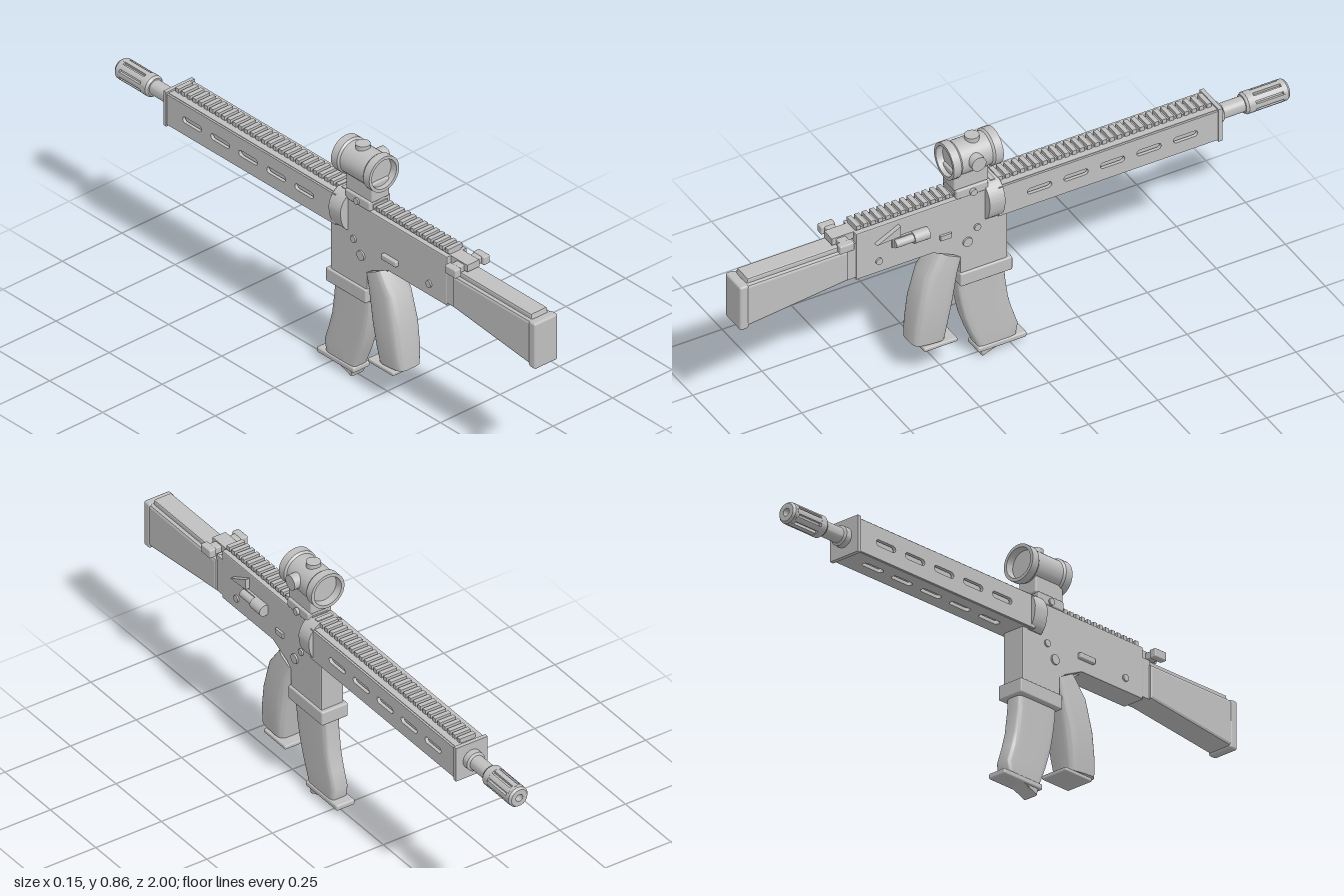
import * as THREE from 'three';
import { toCreasedNormals } from 'three/addons/utils/BufferGeometryUtils.js';
import { RoundedBoxGeometry } from 'three/addons/geometries/RoundedBoxGeometry.js';

export function createModel() {
  const model = new THREE.Group();
  const grey = new THREE.MeshStandardMaterial({ color: 0xc0c0c0 });
  grey.name = 'plain grey';
  const BORE = 0.613;

  const add = (name, geo, x = 0, y = 0, z = 0) => {
    const mesh = new THREE.Mesh(geo, grey);
    mesh.name = name;
    mesh.position.set(x, y, z);
    model.add(mesh);
    return mesh;
  };
  // box given by its limits
  const box = (name, x0, x1, y0, y1, z0, z1, r = 0) => {
    const s = [x1 - x0, y1 - y0, z1 - z0];
    const geo = r ? new RoundedBoxGeometry(...s, 2, r) : new THREE.BoxGeometry(...s);
    return add(name, geo, (x0 + x1) / 2, (y0 + y1) / 2, (z0 + z1) / 2);
  };
  // side profile of [z, y] points, extruded across x and centred
  const profile = (name, pts, halfWidth, bevel = 0, x = 0) => {
    const shape = new THREE.Shape(pts.map(p => new THREE.Vector2(...p)));
    const geo = new THREE.ExtrudeGeometry(shape, {
      depth: 2 * (halfWidth - bevel), bevelEnabled: bevel > 0,
      bevelSize: bevel, bevelThickness: bevel, bevelOffset: -bevel, bevelSegments: 2,
    });
    geo.translate(0, 0, bevel - halfWidth).rotateY(-Math.PI / 2);
    return add(name, geo, x);
  };
  // turned part along z from [radius, z] points in rising z
  const turned = (name, pts, y) => {
    const geo = new THREE.LatheGeometry(pts.map(p => new THREE.Vector2(...p)), 32);
    return add(name, toCreasedNormals(geo.rotateX(Math.PI / 2), 0.5), 0, y);
  };
  // cylinder lying across x
  const pin = (name, r, x0, x1, y, z) =>
    add(name, new THREE.CylinderGeometry(r, r, x1 - x0, 20).rotateZ(Math.PI / 2), (x0 + x1) / 2, y, z);
  // loft through rounded sections [zBack, yBack, zFront, yFront, halfWidth], top to bottom
  const loft = (name, sections, power) => {
    const N = 32, pos = [], idx = [];
    const soft = v => Math.sign(v) * Math.abs(v) ** power;
    for (const [zb, yb, zf, yf, w] of sections) {
      for (let j = 0; j < N; j++) {
        const a = (j / N) * 2 * Math.PI, t = (soft(Math.cos(a)) + 1) / 2;
        pos.push(w * soft(Math.sin(a)), yb + (yf - yb) * t, zb + (zf - zb) * t);
      }
    }
    const last = sections.length - 1, top = sections.length * N;
    for (const [zb, yb, zf, yf] of [sections[0], sections[last]]) pos.push(0, (yb + yf) / 2, (zb + zf) / 2);
    for (let j = 0; j < N; j++) {
      const k = (j + 1) % N;
      for (let i = 0; i < last; i++) {
        const a = i * N + j, b = i * N + k;
        idx.push(a, b, a + N, b, b + N, a + N);
      }
      idx.push(top, k, j, top + 1, last * N + j, last * N + k);
    }
    const geo = new THREE.BufferGeometry();
    geo.setAttribute('position', new THREE.Float32BufferAttribute(pos, 3));
    geo.setIndex(idx);
    return add(name, toCreasedNormals(geo, 0.6));
  };

  // stock with butt pad and raised comb
  profile('stock', [[0.98, 0.455], [0.98, 0.615], [0.605, 0.615], [0.605, 0.497]], 0.047, 0.01);
  box('buttPad', -0.049, 0.049, 0.448, 0.617, 0.968, 1, 0.008);
  profile('stockComb', [[0.97, 0.61], [0.965, 0.632], [0.6, 0.632], [0.6, 0.61]], 0.034, 0.006);
  box('stockCollar', -0.04, 0.04, 0.495, 0.63, 0.57, 0.61);

  // charging handle
  box('chargingHandleBar', -0.073, 0.073, 0.635, 0.66, 0.605, 0.64, 0.004);
  box('chargingHandleStem', -0.025, 0.025, 0.64, 0.665, 0.56, 0.655);
  for (const s of [-1, 1]) box('chargingHandleEnd', s * 0.06 - 0.013, s * 0.06 + 0.013, 0.632, 0.662, 0.6, 0.652, 0.004);

  // receiver and magazine well
  profile('receiver', [[0.577, 0.485], [0.577, 0.665], [0.03, 0.665], [0.03, 0.34], [0.2, 0.34],
    [0.2, 0.43], [0.225, 0.45], [0.3, 0.485]], 0.042, 0.004);
  box('magazineWellLip', -0.05, 0.05, 0.32, 0.37, 0.015, 0.203, 0.005);
  profile('gripTang', [[0.31, 0.487], [0.205, 0.487], [0.215, 0.44], [0.27, 0.46]], 0.022);

  // receiver fittings
  profile('caseDeflector', [[0.51, 0.605], [0.425, 0.61], [0.425, 0.648]], 0.01, 0, 0.048);
  const rod = (name, r, z0, z1) =>
    add(name, new THREE.CylinderGeometry(r, r, z1 - z0, 20).rotateX(Math.PI / 2), 0.054, 0.585, (z0 + z1) / 2);
  rod('assistRod', 0.014, 0.38, 0.445);
  rod('assistKnob', 0.02, 0.325, 0.38);
  box('portCover', 0.04, 0.05, 0.568, 0.602, 0.33, 0.45);
  for (const [r, z, y] of [[0.012, 0.495, 0.53], [0.017, 0.175, 0.485], [0.012, 0.14, 0.53]]) {
    pin('receiverPin', r, -0.048, 0.048, y, z);
  }
  box('magazineCatch', 0.04, 0.05, 0.528, 0.546, 0.235, 0.275);
  box('selectorLever', -0.056, -0.04, 0.525, 0.545, 0.28, 0.35, 0.004);

  // pistol grip
  loft('pistolGrip', [
    [0.268, 0.47, 0.19, 0.43, 0.047], [0.322, 0.395, 0.205, 0.375, 0.053], [0.35, 0.29, 0.225, 0.27, 0.057],
    [0.363, 0.2, 0.24, 0.19, 0.054], [0.367, 0.14, 0.25, 0.13, 0.047],
  ], 0.5);
  box('gripBasePlate', -0.052, 0.052, 0.114, 0.128, 0.215, 0.335, 0.004);
  box('gripBaseCore', -0.035, 0.035, 0.12, 0.16, 0.26, 0.33);

  // curved magazine
  loft('magazine', [
    [0.2, 0.36, 0.032, 0.36, 0.031], [0.197, 0.29, 0.026, 0.275, 0.031], [0.188, 0.23, 0.015, 0.195, 0.031],
    [0.175, 0.17, 0.0, 0.14, 0.031], [0.155, 0.11, -0.02, 0.08, 0.031], [0.128, 0.045, -0.012, 0.04, 0.031],
    [0.112, 0.0, 0.09, 0.01, 0.028],
  ], 0.3);
  box('magazineFloorPlate', -0.035, 0.035, 0.022, 0.042, -0.045, 0.13, 0.006);

  // slotted handguard: two sides, underside, plain top
  const GUARD_BACK = 0.07, GUARD_FRONT = -0.735;
  const slotPlate = half => {
    const shape = new THREE.Shape([[GUARD_FRONT, -half], [GUARD_BACK, -half], [GUARD_BACK, half], [GUARD_FRONT, half]]
      .map(p => new THREE.Vector2(...p)));
    for (let i = 0; i < 5; i++) {
      const z = -0.078 - i * 0.132, r = 0.011, e = 0.033;
      const slot = new THREE.Path();
      slot.absarc(z + e, 0, r, -Math.PI / 2, Math.PI / 2, false);
      slot.absarc(z - e, 0, r, Math.PI / 2, Math.PI * 1.5, false);
      shape.holes.push(slot);
    }
    const geo = new THREE.ExtrudeGeometry(shape, { depth: 0.012, bevelEnabled: false, curveSegments: 6 });
    return geo.translate(0, 0, -0.006).rotateY(-Math.PI / 2);
  };
  for (const s of [-1, 1]) add('handguardSide', slotPlate(0.056), s * 0.051, 0.61);
  add('handguardUnderside', slotPlate(0.05).rotateZ(Math.PI / 2), 0, 0.559);
  box('handguardTop', -0.05, 0.05, 0.655, 0.668, GUARD_FRONT, GUARD_BACK);
  box('handguardLiner', -0.036, 0.036, 0.574, 0.65, GUARD_FRONT, GUARD_BACK);
  box('handguardEndCap', -0.06, 0.06, 0.548, 0.674, -0.738, -0.724);

  // rounded collar between receiver and handguard
  const collar = new THREE.Shape();
  collar.moveTo(-0.045, 0.55);
  collar.lineTo(0.045, 0.55);
  collar.quadraticCurveTo(0.072, 0.57, 0.073, 0.625);
  collar.quadraticCurveTo(0.07, 0.66, 0.035, 0.682);
  collar.lineTo(-0.035, 0.682);
  collar.quadraticCurveTo(-0.07, 0.66, -0.073, 0.625);
  collar.quadraticCurveTo(-0.072, 0.57, -0.045, 0.55);
  const collarGeo = new THREE.ExtrudeGeometry(collar, { depth: 0.056, bevelEnabled: false });
  add('handguardCollar', toCreasedNormals(collarGeo, 0.6), 0, 0, 0.055);

  // toothed top rail
  box('railBase', -0.024, 0.024, 0.66, 0.674, -0.715, 0.57);
  for (let i = 0; i < 48; i++) {
    const z = 0.562 - i * 0.027;
    box('railTooth', -0.03, 0.03, 0.67, 0.685, z - 0.008, z + 0.008);
  }

  // barrel and slotted muzzle device
  turned('barrel', [[0, -0.87], [0.026, -0.87], [0.026, -0.765], [0.034, -0.76], [0.034, -0.73], [0, -0.73]], BORE);
  turned('muzzleCore', [[0, -0.9], [0.013, -0.9], [0.013, -0.998], [0.025, -0.998], [0.025, -0.85], [0, -0.85]]
    , BORE);
  turned('muzzleBase', [[0.024, -0.875], [0.037, -0.875], [0.037, -0.85], [0.031, -0.842], [0, -0.842]], BORE);
  turned('muzzleTip', [[0.013, -0.985], [0.013, -1], [0.03, -1], [0.036, -0.992], [0.036, -0.975], [0.024, -0.975]], BORE);
  for (let i = 0; i < 8; i++) {
    const a = (i / 8) * 2 * Math.PI, prong = new THREE.Shape();
    prong.absarc(0, 0, 0.0365, a - 0.25, a + 0.25, false);
    prong.absarc(0, 0, 0.022, a + 0.25, a - 0.25, true);
    add('muzzleProng', new THREE.ExtrudeGeometry(prong, { depth: 0.115, bevelEnabled: false, curveSegments: 4 }),
      0, BORE, -0.983);
  }

  // optic: tube, turrets and mount
  const OPTIC = 0.795;
  turned('opticTube', [[0, 0.08], [0.049, 0.08], [0.052, 0.055], [0.063, 0.055], [0.063, 0.083], [0.057, 0.09],
    [0.057, 0.2], [0.063, 0.207], [0.063, 0.235], [0.052, 0.235], [0.049, 0.212], [0, 0.212]], OPTIC);
  add('topTurret', new THREE.CylinderGeometry(0.024, 0.024, 0.04, 24), 0, 0.844, 0.135);
  pin('sideTurret', 0.026, 0.04, 0.077, 0.802, 0.152);
  box('opticMount', -0.037, 0.037, 0.695, 0.765, 0.095, 0.22, 0.006);
  box('opticMountClamp', -0.045, 0.045, 0.664, 0.698, 0.1, 0.215, 0.005);
  pin('opticClampScrew', 0.012, -0.05, 0.055, 0.678, 0.157);

  return model;
}
